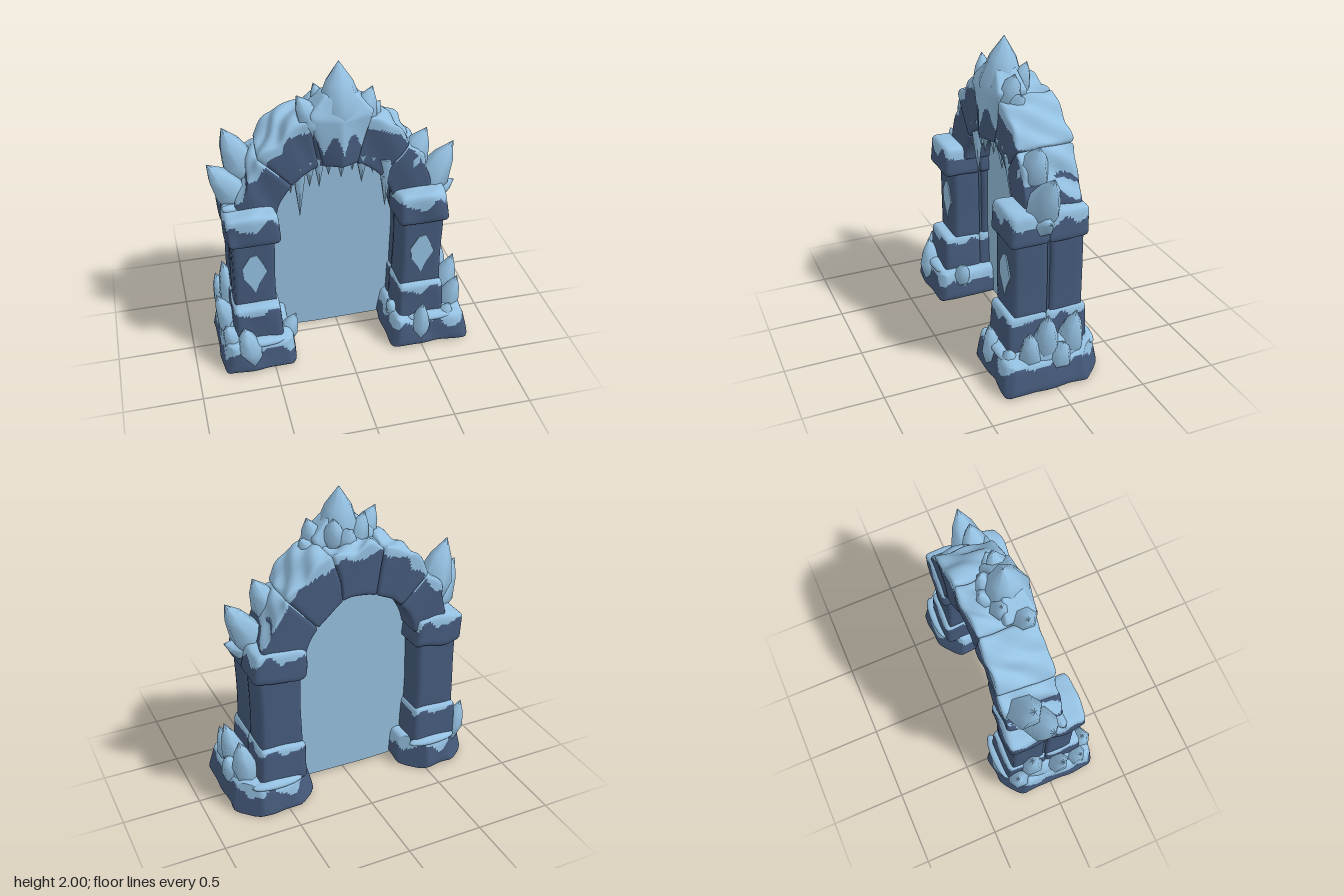
import * as THREE from 'three';
import { mergeVertices, toCreasedNormals } from 'three/addons/utils/BufferGeometryUtils.js';

const mat = (name, color, side = THREE.FrontSide) => {
  const m = new THREE.MeshStandardMaterial({ color, side });
  m.name = name;
  return m;
};
const stone = mat('dark stone', 0x455a7b);
const ice = mat('ice', 0x95c1e2);
const veil = mat('ice veil', 0x94bddc, THREE.DoubleSide);

const { sin, cos, abs, hypot, sign, max, min, round, PI } = Math;
const V = (x, y, z) => new THREE.Vector3(x, y, z);
const noise = (x, y, z) =>
  0.5 * sin(x * 29 + y * 17) + 0.3 * sin(z * 33 + x * 11 + 1.3) + 0.2 * sin(x * 53 + z * 49 + y * 23);

const add = (group, name, geo, material) => {
  const mesh = new THREE.Mesh(geo, material);
  mesh.name = name;
  group.add(mesh);
  return mesh;
};

// Sort triangles into stone and frost groups by a rule on centre and normal
function paint(geo, isIce) {
  const p = geo.attributes.position, idx = geo.index.array, lists = [[], []];
  const a = V(), b = V(), c = V(), n = V();
  for (let i = 0; i < idx.length; i += 3) {
    [a, b, c].forEach((v, k) => v.fromBufferAttribute(p, idx[i + k]));
    n.crossVectors(b.clone().sub(a), c.clone().sub(a)).normalize();
    lists[isIce(a.add(b).add(c).divideScalar(3), n) ? 1 : 0].push(idx[i], idx[i + 1], idx[i + 2]);
  }
  geo.setIndex([...lists[0], ...lists[1]]);
  geo.clearGroups();
  geo.addGroup(0, lists[0].length, 0);
  geo.addGroup(lists[0].length, lists[1].length, 1);
  geo.computeVertexNormals();
  return geo;
}

// Rounded, hand-hewn block; chamfer = [front, back] corner cuts; map places each local point
function hewn(w, h, d, { r = 0.03, chamfer = [0, 0], bump = 0.006, step = 0.02 }, map) {
  let geo = new THREE.BoxGeometry(w, h, d, round(w / step), round(h / step), round(d / step));
  geo.deleteAttribute('uv');
  geo.deleteAttribute('normal');
  geo = mergeVertices(geo, 1e-5);
  const p = geo.attributes.position, v = V(), inner = V();
  const lim = V(w / 2 - r, h / 2 - r, d / 2 - r);
  for (let i = 0; i < p.count; i++) {
    v.fromBufferAttribute(p, i);
    inner.copy(v).clamp(lim.clone().negate(), lim);
    v.sub(inner).setLength(r).add(inner);
    const cut = chamfer[v.z > 0 ? 0 : 1];
    const over = cut ? max(0, abs(v.x) + abs(v.z) - (w / 2 + d / 2 - cut)) : 0;
    v.x -= sign(v.x) * over / 2;
    v.z -= sign(v.z) * over / 2;
    map(v);
    const k = bump * noise(v.x * 0.6, v.y * 0.6, v.z * 0.6);
    p.setXYZ(i, v.x + k, v.y + k * (v.y > 0.03 ? 1 : 0), v.z + k);
  }
  return geo;
}

// Upright block with a frosted top that drips over the sides
function block(group, name, [x0, x1], [y0, y1], [z0, z1], opt = {}) {
  const { taper = 0, drip = 0.05 } = opt, h = y1 - y0;
  const geo = hewn(x1 - x0, h, z1 - z0, opt, v => {
    const s = 1 - taper * (v.y / h + 0.5);
    v.set(v.x * s + (x0 + x1) / 2, v.y + (y0 + y1) / 2, v.z * s + (z0 + z1) / 2);
  });
  paint(geo, (c, n) => drip > 0 && (n.y > 0.5 || c.y > y1 - drip * (1 + 0.8 * noise(c.x, 0, c.z))));
  return add(group, name, geo, [stone, ice]);
}

// Crystal from base to tip, widest part way up
function crystal(group, base, tip, r, sides = 6) {
  const from = V(...base), dir = V(...tip).sub(from), L = dir.length();
  const pts = [[0, -0.03], [r * 0.75, 0], [r, L * 0.38], [r * 0.6, L * 0.72], [0, L]];
  let geo = new THREE.LatheGeometry(pts.map(q => new THREE.Vector2(...q)), sides);
  geo.deleteAttribute('uv');
  geo = toCreasedNormals(geo, 1.15);
  const mesh = add(group, 'crystal', geo, ice);
  mesh.position.copy(from);
  mesh.quaternion.setFromUnitVectors(V(0, 1, 0), dir.normalize());
}

function snow(group, pos, size) {
  const mesh = add(group, 'snowDrift', new THREE.SphereGeometry(1, 14, 10), ice);
  mesh.position.set(...pos);
  mesh.scale.set(...size);
}

// Footing, plinths, paired shafts and capitals of one side
function pillar(name, cx, base, shaftFront) {
  const g = new THREE.Group();
  g.name = name;
  const wide = h => [cx - h, cx + h];
  block(g, 'footing', base, [0, 0.21], [-0.345, 0.345], { r: 0.04, chamfer: [0.05, 0.15], taper: 0.1, drip: 0.06, bump: 0.012 });
  block(g, 'shaftCore', wide(0.12), [0.4, 1.0], [-0.12, 0.1], { r: 0.01, drip: 0, step: 0.05 });
  for (const [label, shaft, plinth, capital] of [
    ['front', [-0.01, shaftFront], [-0.02, 0.26], [-0.02, 0.24]],
    ['back', [-0.245, -0.025], [-0.285, 0.01], [-0.275, 0]]]) {
    block(g, label + 'Plinth', wide(0.16), [0.17, 0.45], plinth, { taper: 0.08, drip: 0.045, r: 0.035 });
    block(g, label + 'Shaft', wide(0.135), [0.42, 0.95], shaft, { r: 0.012, drip: 0, bump: 0.004, step: 0.03 });
    block(g, label + 'Capital', wide(0.167), [0.915, 1.125], capital, { r: 0.035, taper: 0.05, drip: 0.065, bump: 0.014 });
  }
  // Frosted diamond inlay
  const kite = new THREE.Shape([[0, -0.15], [0.025, -0.08], [0.08, 0.01], [0.05, 0.08], [0.02, 0.14],
    [-0.025, 0.13], [-0.075, 0.05], [-0.07, -0.03], [-0.025, -0.1]].map(q => new THREE.Vector2(...q)));
  const inlay = add(g, 'diamondInlay', new THREE.ExtrudeGeometry(kite, { depth: 0.009, bevelEnabled: false }), ice);
  inlay.position.set(cx, 0.68, shaftFront - 0.003);
  return g;
}

// Ring of hewn arch stones on an elliptical path, lumpy along the snowy outside
function arch() {
  const g = new THREE.Group();
  g.name = 'arch';
  const X = -0.03, Y = 0.98, count = 5, a0 = 0.14, span = (PI - 2 * a0) / count;
  for (let i = 0; i < count; i++) {
    const t1 = a0 + (i + 1) * span, w = 0.36, h = 0.3, grow = i % 2 ? 0.012 : 0;
    const geo = hewn(w, h, 0.36, { r: 0.022, bump: 0.012, step: 0.018 }, v => {
      const t = t1 - (v.x / w + 0.5) * span, k = v.y / h + 0.5;
      const lump = grow + 0.014 * sin(t * 13 + v.z * 9) + 0.01 * sin(t * 21 - v.z * 24);
      v.set(X + cos(t) * (0.385 + k * (0.245 + lump)), Y + sin(t) * (0.39 + k * (0.325 + lump)), v.z - 0.07);
    });
    paint(geo, (c, n) => {
      const e = hypot((c.x - X) / 0.63, (c.y - Y) / 0.72);
      const limit = 0.92 + max(0, 1.4 - c.y) * 0.5 - 0.055 * noise(c.x, c.y, 0);
      return e > 0.75 && (e > limit || n.y > 0.45);
    });
    add(g, 'archStone', geo, [stone, ice]);
  }
  return g;
}

// Wedge keystone with a ridged, frosted face narrowing into a crown of crystals
function keystone() {
  const g = new THREE.Group();
  g.name = 'keystone';
  const h = 0.46;
  const geo = hewn(0.4, h, 0.2, { r: 0.02, bump: 0.006, step: 0.014 }, v => {
    const k = v.y / h + 0.5, ridge = v.z > 0 ? 0.045 * (1 - abs(v.x) / 0.2) : 0;
    const flare = min(0.54 + 0.62 * k, 1 - max(0, k - 0.75) * 2.2);
    const shrink = 1 - max(0, k - 0.7) * 1.2;
    v.set(v.x * flare - 0.01, v.y + 1.36 + h / 2, (v.z + ridge) * shrink + 0.02);
  });
  paint(geo, (c, n) => n.y > 0.5 || c.y > 1.44 + 0.13 * abs(sin(c.x * 26)) + 0.012 * noise(c.x, c.y, 0));
  add(g, 'keystoneBlock', geo, [stone, ice]);
  crystal(g, [0, 1.54, 0.03], [0, 2.0, 0], 0.145, 8);
  for (const [b, t, r] of [
    [[-0.13, 1.56, 0.05], [-0.265, 1.825, 0.04], 0.09], [[0.11, 1.56, 0.04], [0.205, 1.825, 0.02], 0.09],
    [[0.14, 1.56, 0.02], [0.26, 1.71, 0], 0.075], [[-0.07, 1.62, -0.05], [-0.14, 1.84, -0.07], 0.07],
    [[0.05, 1.63, -0.05], [0.09, 1.85, -0.11], 0.075], [[0, 1.63, -0.06], [0, 1.78, -0.15], 0.08]]) crystal(g, b, t, r);
  return g;
}

export function createModel() {
  const model = new THREE.Group();
  model.name = 'frozenArchway';
  model.add(pillar('rightPillar', -0.585, [-0.835, -0.345], 0.175),
    pillar('leftPillar', 0.505, [0.285, 0.835], 0.21), arch(), keystone());

  // Sheet of ice filling the opening
  const sheet = new THREE.Shape();
  sheet.moveTo(-0.46, 0.02).lineTo(-0.14, 0.01).lineTo(0.38, 0.02).lineTo(0.38, 1.0);
  sheet.absellipse(-0.035, 1.0, 0.415, 0.44, 0, PI, false);
  add(model, 'iceVeil', new THREE.ShapeGeometry(sheet, 32), veil).position.z = -0.07;

  // Icicles: x, root height, tip height, radius
  const icicles = new THREE.Group();
  icicles.name = 'icicles';
  for (const [x, root, tip, r] of [[-0.36, 1.28, 1.16, 0.035], [-0.32, 1.35, 1.17, 0.04], [-0.265, 1.37, 0.99, 0.05],
    [-0.2, 1.4, 1.2, 0.042], [-0.14, 1.41, 1.19, 0.04], [-0.08, 1.41, 1.27, 0.035], [0.0, 1.42, 1.24, 0.045],
    [0.07, 1.41, 1.28, 0.035], [0.13, 1.4, 1.19, 0.045], [0.2, 1.38, 1.25, 0.04], [0.285, 1.35, 0.99, 0.055], [0.34, 1.28, 1.1, 0.035]]) {
    const cone = add(icicles, 'icicle', new THREE.ConeGeometry(r, root - tip, 6), ice);
    cone.rotation.x = PI;
    cone.position.set(x, (root + tip) / 2, 0.07);
  }
  model.add(icicles);

  // Crystal clusters on the arch shoulders and footings: base, tip, radius
  const clusters = new THREE.Group();
  clusters.name = 'crystalClusters';
  for (const [b, t, r] of [
    [[-0.55, 1.18, -0.14], [-0.7, 1.585, -0.11], 0.115], [[-0.6, 1.06, -0.07], [-0.815, 1.39, -0.03], 0.11],
    [[-0.62, 1.06, 0.06], [-0.76, 1.14, 0.08], 0.055],
    [[0.42, 1.2, 0.02], [0.56, 1.5, 0.02], 0.105], [[0.54, 1.02, 0.02], [0.745, 1.375, 0.01], 0.11],
    [[0.59, 1.01, 0.03], [0.76, 1.1, 0.03], 0.065],
    [[-0.72, 0.12, 0.06], [-0.83, 0.48, 0.08], 0.08], [[-0.68, 0.16, -0.1], [-0.76, 0.6, -0.12], 0.09],
    [[-0.73, 0.12, -0.2], [-0.8, 0.42, -0.24], 0.075], [[-0.64, 0.06, 0.28], [-0.69, 0.35, 0.29], 0.085],
    [[-0.41, 0.1, 0.16], [-0.325, 0.3, 0.16], 0.065], [[-0.72, 0.12, 0.2], [-0.8, 0.34, 0.23], 0.075],
    [[0.69, 0.13, 0.03], [0.785, 0.515, 0.05], 0.09], [[0.69, 0.13, -0.12], [0.76, 0.49, -0.15], 0.09],
    [[0.71, 0.11, 0.13], [0.78, 0.42, 0.17], 0.075], [[0.73, 0.11, -0.03], [0.82, 0.33, -0.04], 0.085],
    [[0.49, 0.05, 0.285], [0.5, 0.35, 0.315], 0.065], [[0.39, 0.1, 0.14], [0.3, 0.3, 0.16], 0.06],
    [[0.66, 0.12, 0.25], [0.7, 0.28, 0.27], 0.06]]) crystal(clusters, b, t, r);
  for (const s of [-1, 1]) {
    snow(clusters, [0.72 * s, 0.2, 0], [0.08, 0.12, 0.21]);
    snow(clusters, [0.58 * s, 0.2, 0.27], [0.17, 0.03, 0.05]);
    snow(clusters, [0.56 * s, 0.2, -0.28], [0.17, 0.03, 0.05]);
  }
  model.add(clusters);
  return model;
}
